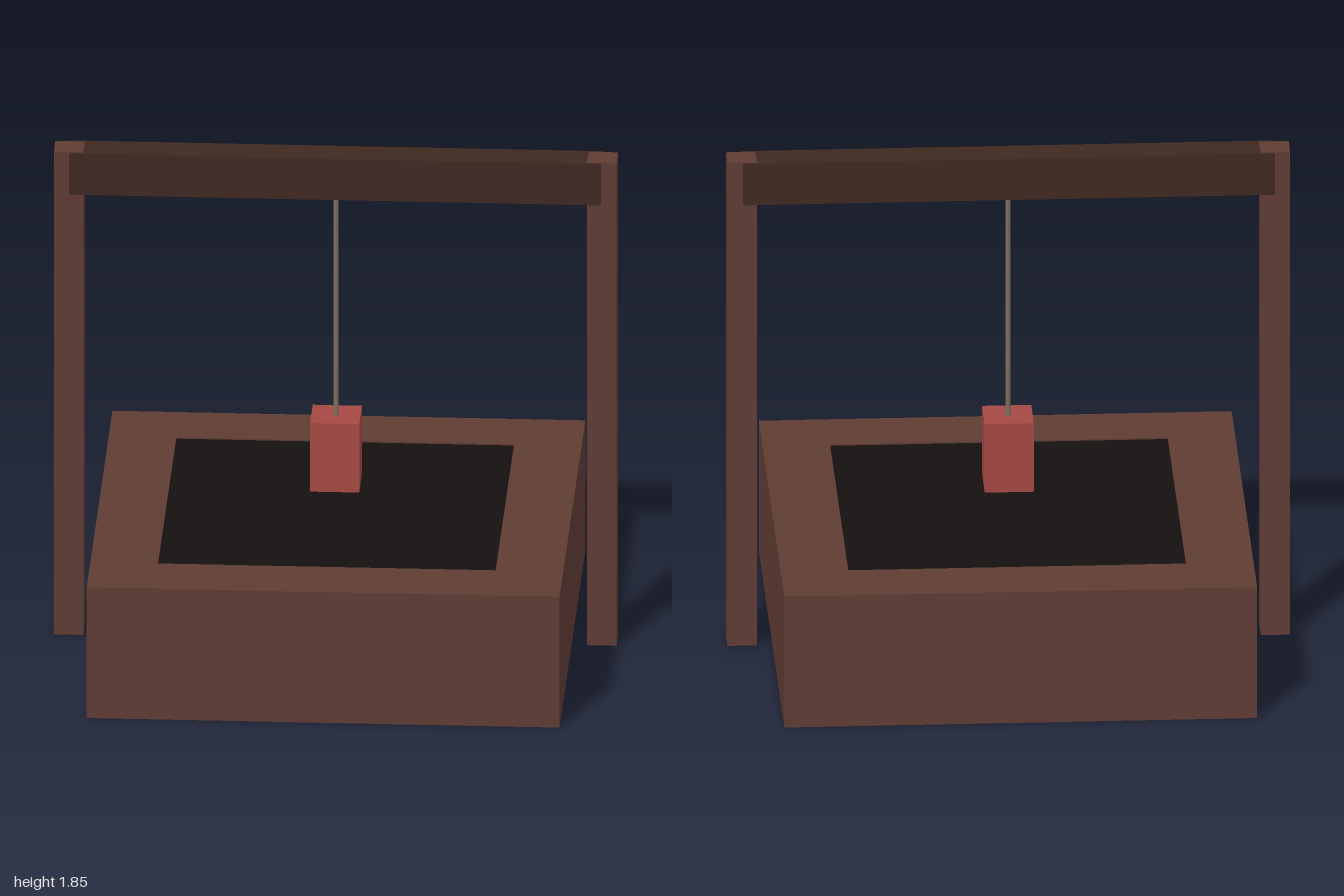
import * as THREE from 'three';

const material = (color) => new THREE.MeshStandardMaterial({ color, side: THREE.DoubleSide });

// Box given by its size, centre x/z and bottom height; openBelow drops the underside
function addBox(parent, name, mat, [w, h, d], [x, y, z], openBelow = false) {
  const geometry = new THREE.BoxGeometry(w, h, d);
  if (openBelow) {
    const index = Array.from(geometry.index.array);
    index.splice(18, 6);
    geometry.setIndex(index);
    geometry.clearGroups();
  }
  const mesh = new THREE.Mesh(geometry, mat);
  mesh.name = name;
  mesh.position.set(x, y + h / 2, z);
  parent.add(mesh);
  return mesh;
}

// Horizontal square sheet inside the shaft
function addSheet(parent, name, mat, size, y) {
  const mesh = new THREE.Mesh(new THREE.PlaneGeometry(size, size), mat);
  mesh.name = name;
  mesh.rotation.x = -Math.PI / 2;
  mesh.position.y = y;
  parent.add(mesh);
}

export function createModel() {
  const model = new THREE.Group();
  model.name = 'well';

  const brown = material(0x5f3c34);
  const darkWood = material(0x3f2921);
  const red = material(0xa54842);
  const ropeColor = material(0x7d705c);

  const outer = 0.84, inner = 0.6, wallHeight = 0.5;
  const thick = outer - inner, mid = (outer + inner) / 2;

  // Square wall: long front and back pieces, shorter side pieces between them
  const wall = new THREE.Group();
  wall.name = 'wellWall';
  for (const s of [1, -1]) {
    addBox(wall, s > 0 ? 'frontWall' : 'backWall', brown,
      [2 * outer, wallHeight, thick], [0, 0, s * mid], true);
    addBox(wall, s > 0 ? 'leftWall' : 'rightWall', brown,
      [thick, wallHeight, 2 * inner], [s * mid, 0, 0], true);
  }
  model.add(wall);

  // Dark mouth of the shaft and the water sheet under it
  addSheet(model, 'shaftOpening', material(0x15110f), 2 * inner, 0.495);
  addSheet(model, 'water', material(0x1a2628), 2 * inner, 0.33);

  // Posts and crossbeam
  for (const s of [1, -1]) {
    addBox(model, s > 0 ? 'leftPost' : 'rightPost', brown,
      [0.105, 1.845, 0.105], [s * 0.9475, 0, 0], true);
  }
  addBox(model, 'crossbeam', darkWood, [1.89, 0.157, 0.126], [0, 1.687, 0]);

  // Rope and bucket
  const rope = new THREE.Mesh(new THREE.CylinderGeometry(0.009, 0.009, 0.87, 8), ropeColor);
  rope.name = 'rope';
  rope.position.y = 1.265;
  model.add(rope);
  addBox(model, 'bucket', red, [0.175, 0.262, 0.175], [0, 0.58, 0]);

  return model;
}
